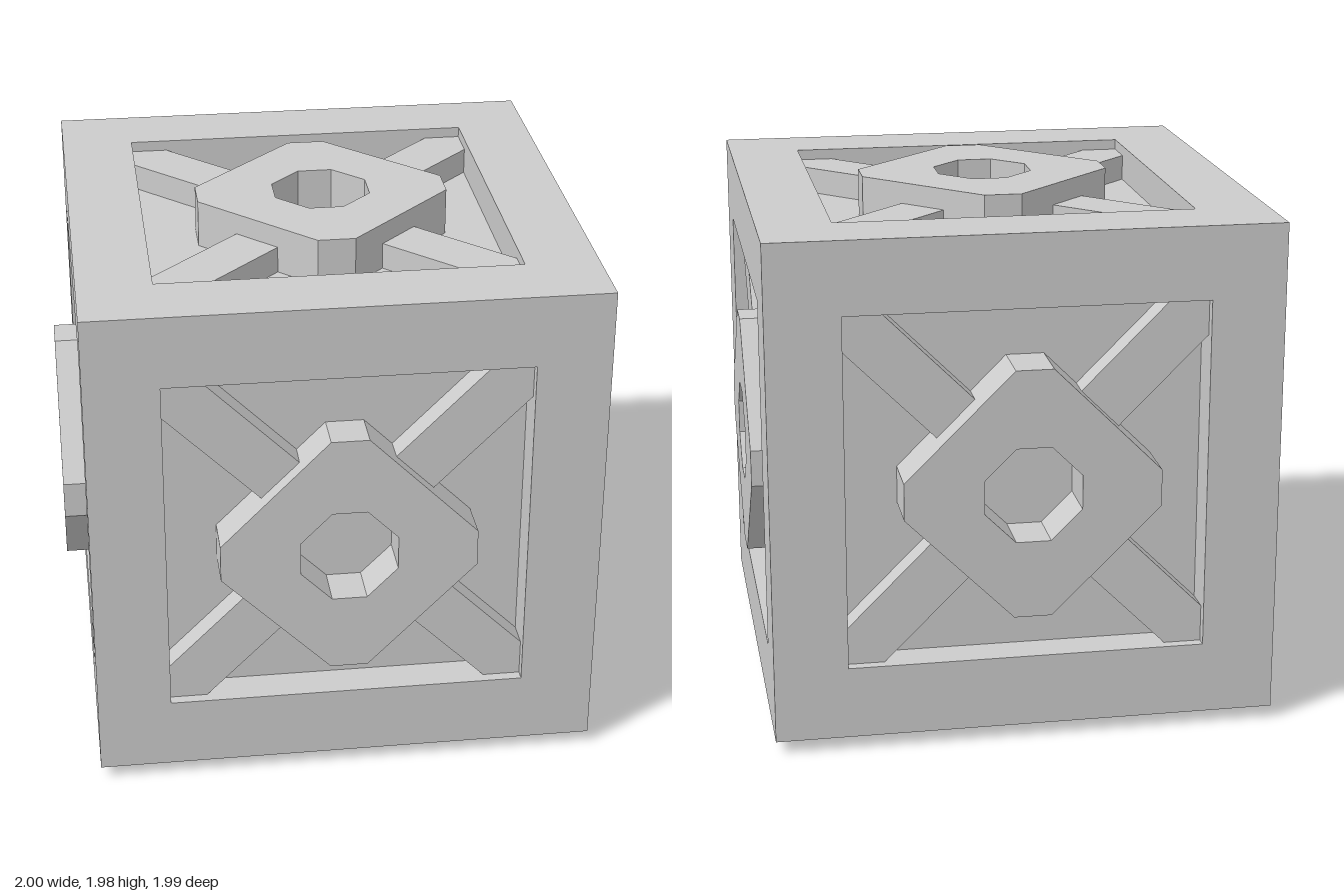
import * as THREE from 'three';

const HALF = 0.945;    // half the cube
const FLOOR = 0.805;   // recessed panel distance from the centre
const WINDOW = 0.67;   // half the recess opening
const STRUT_TOP = 0.905;

const points = (list) => list.map(([x, y]) => new THREE.Vector2(x, y));
const square = (h) => points([[-h, -h], [h, -h], [h, h], [-h, h]]);

// Octagon standing on its tips, each tip cut to a flat of half width f
const cutDiamond = (h, f) => points([
  [h, -f], [h, f], [f, h], [-f, h], [-h, f], [-h, -f], [-f, -h], [f, -h],
]);

function extrude(outline, hole, back, front) {
  const shape = new THREE.Shape(outline);
  if (hole) shape.holes.push(new THREE.Path(hole));
  const geo = new THREE.ExtrudeGeometry(shape, { depth: front - back, bevelEnabled: false });
  return geo.translate(0, 0, back);
}

function frameGeometry() {
  const geo = extrude(square(HALF), square(WINDOW), FLOOR, HALF);
  // Mitre the outer border so the six frames meet at the cube edges
  const pos = geo.attributes.position;
  for (let i = 0; i < pos.count; i++) {
    if (pos.getZ(i) > FLOOR + 0.01) continue;
    for (const axis of ['X', 'Y']) {
      const v = pos['get' + axis](i);
      if (Math.abs(v) > WINDOW + 0.01) pos['set' + axis](i, Math.sign(v) * FLOOR);
    }
  }
  geo.computeVertexNormals();
  return geo;
}

export function createModel() {
  const model = new THREE.Group();
  model.name = 'crate';
  model.position.set(0.025, 1.0, 0.015);
  const material = new THREE.MeshStandardMaterial({ color: 0xcccccc, flatShading: true });

  const add = (parent, geo, name) => {
    const mesh = new THREE.Mesh(geo, material);
    mesh.name = name;
    parent.add(mesh);
    return mesh;
  };

  // Recessed inner cube
  add(model, new THREE.BoxGeometry(2 * FLOOR, 2 * FLOOR, 2 * FLOOR), 'innerPanels');

  // Diagonal bar cut to the window corners
  const w = WINDOW, c = WINDOW - 0.14;
  const strut = extrude(points([[-w, -w], [-c, -w], [w, c], [w, w], [c, w], [-w, -c]]), null, FLOOR - 0.01, STRUT_TOP);
  const frame = frameGeometry();

  // Each side: rotation, plate offset, how far the plate stands proud, plate tilt
  const sides = [
    { name: 'front', rot: [0, 0], at: [0, -0.05], proud: 0.03, tilt: 0.02 },
    { name: 'back', rot: [0, Math.PI], at: [0.01, -0.015], proud: 0.055, tilt: -0.015 },
    { name: 'left', rot: [0, Math.PI / 2], at: [0, -0.035], proud: 0.03, tilt: 0 },
    { name: 'right', rot: [0, -Math.PI / 2], at: [0, -0.035], proud: 0.08, tilt: 0 },
    { name: 'top', rot: [-Math.PI / 2, 0], at: [0.015, 0.015], proud: 0.04, tilt: 0 },
    { name: 'bottom', rot: [Math.PI / 2, 0], at: [-0.01, 0], proud: 0.05, tilt: 0 },
  ];

  for (const { name, rot, at, proud, tilt } of sides) {
    const side = new THREE.Group();
    side.name = name + 'Side';
    side.rotation.set(rot[0], rot[1], 0);
    model.add(side);

    add(side, frame, name + 'Frame');

    // Crossed struts, each split so the middle stays open under the plate hole
    for (let i = 0; i < 4; i++) {
      const half = i === 0 ? strutArm(strut) : side.userData.arm;
      side.userData.arm = half;
      add(side, half, name + 'Strut').rotation.z = i * Math.PI / 2;
    }

    // Eight-sided plate with a matching hole
    const top = HALF + proud;
    const plate = add(side, extrude(cutDiamond(0.475, 0.07), cutDiamond(0.18, 0.065), -(top - FLOOR + 0.01), 0), name + 'Plate');
    plate.position.set(at[0], at[1], top);
    plate.rotation.x = -tilt;
  }
  return model;
}

// Keeps the outer part of a diagonal bar by pulling its inner end under the plate
function strutArm(bar) {
  const geo = bar.clone();
  const pos = geo.attributes.position;
  for (let i = 0; i < pos.count; i++) {
    const x = pos.getX(i), y = pos.getY(i);
    if (x + y > 0) continue;
    // Slide along the diagonal to a square end just outside the hole
    const slide = (0.42 - (x + y)) / 2;
    pos.setXY(i, x + slide, y + slide);
  }
  geo.computeVertexNormals();
  return geo;
}
